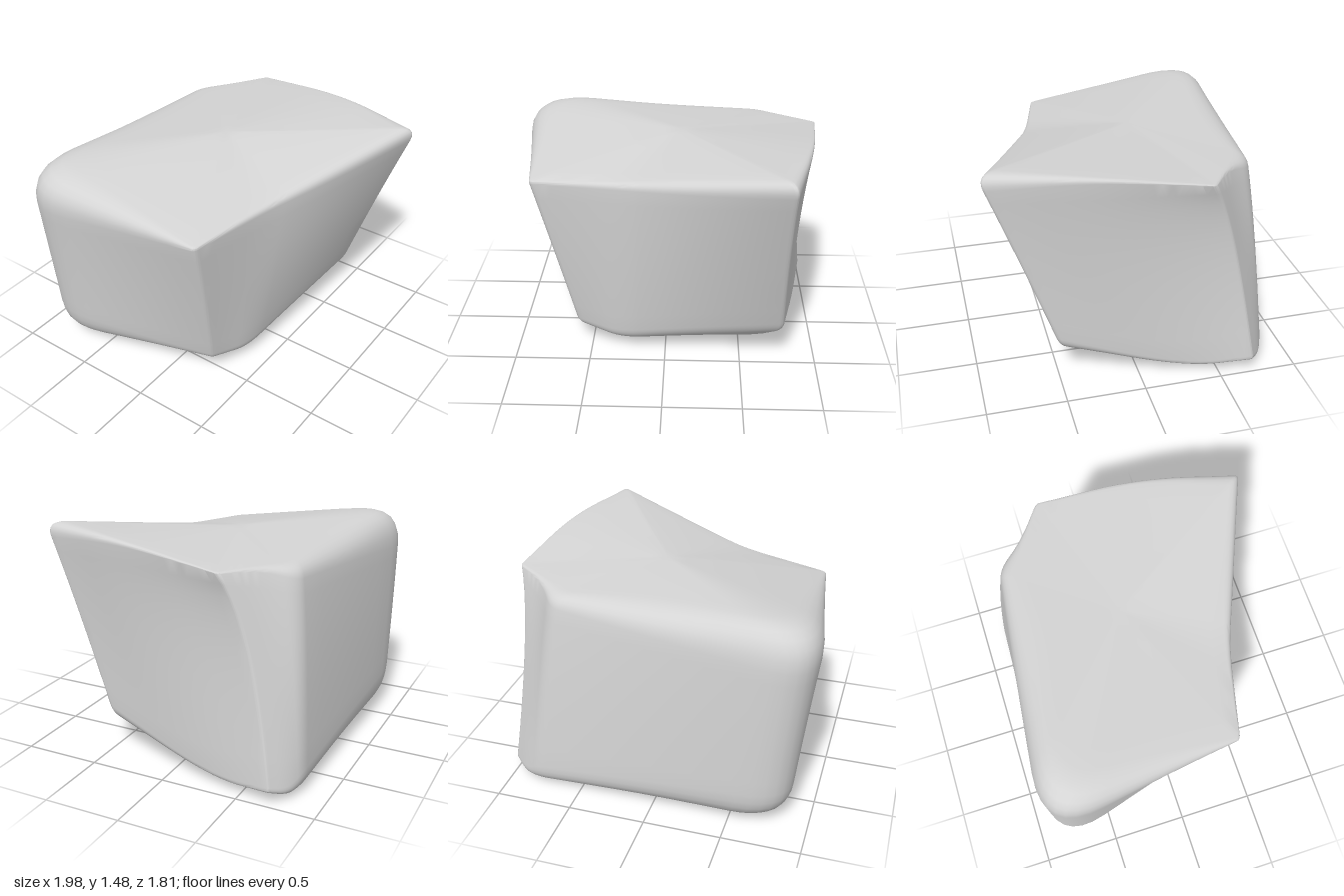
import * as THREE from 'three';
import { toCreasedNormals } from 'three/addons/utils/BufferGeometryUtils.js';

const V = (a) => new THREE.Vector3(...a);
const mix = (a, b, t) => a.clone().lerp(b, t);
const bezier = (a, b, c, t) => mix(mix(a, b, t), mix(b, c, t), t);

// Upright edges of the block, clockwise seen from above:
// top, middle and bottom points, then sideways / top / bottom rounding
const edges = [
  // front left corner
  { p: [[0.77, 1.485, 0.945], [0.765, 0.95, 0.745], [0.78, 0.26, 0.5]], r: [0.03, 0.14, 0.05] },
  // slight bend of the front
  { p: [[-0.28, 1.28, 0.5], [-0.3, 0.7, 0.45], [-0.32, 0.09, 0.38]], r: [0.14, 0.04, 0.06] },
  // front right corner
  { p: [[-0.855, 1.235, 0.365], [-0.72, 0.7, 0.33], [-0.59, 0.15, 0.28]], r: [0.025, 0.02, 0.04] },
  // broad back right corner
  { p: [[-1.075, 1.42, -0.935], [-1.015, 0.8, -0.93], [-0.955, 0.08, -0.91]], r: [0.4, 0.32, 0.2] },
  // back edge of the cut corner
  { p: [[0.64, 1.36, -0.72], [0.71, 0.8, -0.79], [0.79, 0.04, -0.85]], r: [0.06, 0.1, 0.09] },
  // hollow of the cut corner
  { p: [[0.78, 1.375, -0.54], [0.825, 0.8, -0.68], [0.9, 0.04, -0.8]], r: [0.1, 0.03, 0.04] },
  // side edge of the cut corner
  { p: [[1.0, 1.38, -0.38], [0.94, 0.92, -0.55], [1.0, 0.09, -0.71]], r: [0.02, 0.02, 0.02] },
  // gentle bow of the left side
  { p: [[0.925, 1.47, 0.32], [0.89, 0.8, 0.1], [0.925, 0.045, -0.3]], r: [0.35, 0.03, 0.03] },
].map((e) => ({ p: e.p.map(V), r: e.r }));

const topCentre = V([0.1, 1.42, -0.1]);
const bottomCentre = V([0.17, 0, 0]);

// Blend two whole edges, points and rounding together
const mixEdge = (a, b, t) => ({
  p: a.p.map((q, i) => mix(q, b.p[i], t)),
  r: a.r.map((q, i) => q + (b.r[i] - q) * t),
});

// Round every corner sideways and fill the flats between them
function makeColumns() {
  const n = edges.length;
  const cols = [];
  const pull = (a, b) => mixEdge(a, b, Math.min(0.48, a.r[0] / a.p[1].distanceTo(b.p[1])));
  edges.forEach((e, i) => {
    const next = edges[(i + 1) % n];
    const start = pull(e, edges[(i + n - 1) % n]);
    const end = pull(e, next);
    for (let k = 0; k <= 8; k++) {
      const t = k / 8;
      cols.push(mixEdge(mixEdge(start, e, t), mixEdge(e, end, t), t));
    }
    const nextStart = pull(next, e);
    for (let k = 1; k < 6; k++) cols.push(mixEdge(end, nextStart, k / 6));
  });
  return cols;
}

// Point on the top or underside, s = 0 at the centre and 1 at the rim
function cap(centre, rim, s, power) {
  const q = mix(centre, rim, s);
  q.y = centre.y + (rim.y - centre.y) * Math.pow(s, power);
  return q;
}

// Full profile of one column: underside, rounded rim, side, rounded rim, top
function profile({ p: [top, middle, bottom], r }) {
  const side = (t) => {
    // parabola through the three points
    const control = middle.clone().multiplyScalar(2).addScaledVector(top, -0.5).addScaledVector(bottom, -0.5);
    return bezier(bottom, control, top, t);
  };
  const height = top.distanceTo(bottom);
  const tb = r[2] / height;
  const tt = 1 - r[1] / height;
  const sb = 1 - r[2] / bottom.distanceTo(bottomCentre);
  const st = 1 - r[1] / top.distanceTo(topCentre);
  const rows = [];
  for (let k = 0; k < 8; k++) rows.push(cap(bottomCentre, bottom, (sb * k) / 8, 2.2));
  for (let k = 0; k <= 6; k++) rows.push(bezier(cap(bottomCentre, bottom, sb, 2.2), bottom, side(tb), k / 6));
  for (let k = 1; k < 10; k++) rows.push(side(tb + ((tt - tb) * k) / 10));
  for (let k = 0; k <= 6; k++) rows.push(bezier(side(tt), top, cap(topCentre, top, st, 1.2), k / 6));
  for (let k = 7; k >= 0; k--) rows.push(cap(topCentre, top, (st * k) / 8, 1.2));
  return rows;
}

export function createModel() {
  const stone = new THREE.MeshStandardMaterial({ color: 0xd4d4d4 });
  stone.name = 'stone grey';

  // Skin the columns into one closed surface
  const columns = makeColumns().map(profile);
  const rows = columns[0].length;
  const positions = columns.flat().flatMap((q) => q.toArray());
  const index = [];
  columns.forEach((_, i) => {
    const a = i * rows;
    const b = ((i + 1) % columns.length) * rows;
    for (let j = 0; j < rows - 1; j++) {
      if (j > 0) index.push(a + j, a + j + 1, b + j);
      if (j < rows - 2) index.push(b + j, a + j + 1, b + j + 1);
    }
  });
  let geometry = new THREE.BufferGeometry();
  geometry.setAttribute('position', new THREE.Float32BufferAttribute(positions, 3));
  geometry.setIndex(index);
  geometry = toCreasedNormals(geometry, 0.6);

  const block = new THREE.Mesh(geometry, stone);
  block.name = 'stoneBlock';
  const group = new THREE.Group();
  group.name = 'stone';
  group.add(block);
  return group;
}
